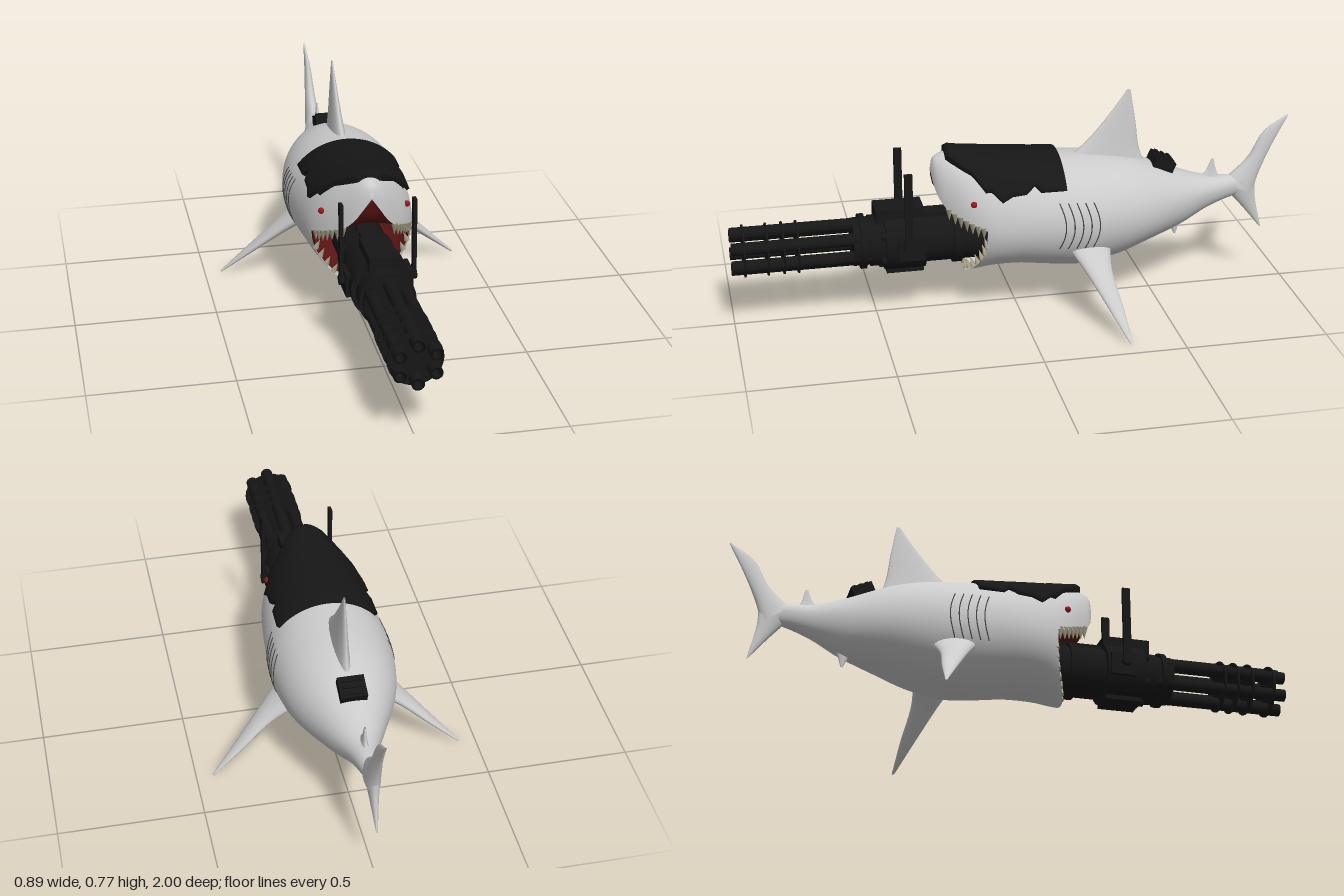
import * as THREE from 'three';

const mat = (color) => new THREE.MeshStandardMaterial({ color, side: THREE.DoubleSide });
const SKIN = mat(0xcccccc), BLACK = mat(0x161616), GUM = mat(0x5a1414), TOOTH = mat(0xa8a28a), RED = mat(0xa01218), SLIT = mat(0x444444);

// Body stations: z, half width, top, midline (upper lip in front), bottom
const BODY = [
  [-0.88, 0.008, 0.40, 0.375, 0.345], [-0.8, 0.03, 0.415, 0.38, 0.335], [-0.7, 0.055, 0.422, 0.37, 0.30],
  [-0.6, 0.10, 0.452, 0.36, 0.25], [-0.45, 0.168, 0.51, 0.35, 0.2], [-0.35, 0.198, 0.535, 0.35, 0.165],
  [-0.22, 0.214, 0.55, 0.35, 0.142], [-0.1, 0.208, 0.56, 0.35, 0.152], [0, 0.2, 0.57, 0.35, 0.165],
  [0.1, 0.186, 0.58, 0.35, 0.162], [0.15, 0.168, 0.585, 0.358, 0.15], [0.2, 0.137, 0.59, 0.378, 0.14],
  [0.25, 0.092, 0.59, 0.405, 0.14], [0.28, 0.056, 0.578, 0.445, 0.14], [0.295, 0.024, 0.562, 0.495, 0.14], [0.3, 0, 0.53, 0.53, 0.14],
];

// Smooth (Hermite) lookup in the body stations
function station(z) {
  const n = BODY.length;
  let i = 0;
  while (i < n - 2 && z > BODY[i + 1][0]) i++;
  const slope = (k, c) => {
    const a = BODY[Math.max(k - 1, 0)], b = BODY[Math.min(k + 1, n - 1)];
    return (b[c] - a[c]) / (b[0] - a[0]);
  };
  const h = BODY[i + 1][0] - BODY[i][0], t = (z - BODY[i][0]) / h, s = t * t * (3 - 2 * t);
  return [1, 2, 3, 4].map((c) => BODY[i][c] * (1 - s) + BODY[i + 1][c] * s
    + h * t * (1 - t) * ((1 - t) * slope(i, c) - t * slope(i + 1, c)));
}

// Point on the body at an angle from the left side, pushed out by scale
function surf(a, z, scale = 1) {
  const [w, top, mid, bot] = station(z), s = Math.sin(a);
  return [w * Math.cos(a) * scale, mid + (s > 0 ? top - mid : mid - bot) * s * scale, z];
}

// The lower half of the body ends at the rim of the lower jaw
const MOUTH = 0.13;
const rim = (a) => (Math.sin(a) > -1e-6 ? 0.3 : MOUTH + 0.055 * Math.abs(Math.sin(a)) ** 3);

// Surface through rows of points
function loft(rows, closed = true, skip = () => false) {
  const n = rows[0].length, index = [];
  for (let i = 0; i < rows.length - 1; i++) {
    for (let j = 0; j < (closed ? n : n - 1); j++) {
      if (skip(i, j)) continue;
      const k = (j + 1) % n, a = i * n + j, b = i * n + k;
      index.push(a, b, b + n, a, b + n, a + n);
    }
  }
  const g = new THREE.BufferGeometry();
  g.setAttribute('position', new THREE.Float32BufferAttribute(rows.flat(2), 3));
  g.setIndex(index);
  g.computeVertexNormals();
  return g;
}
const range = (n, f) => Array.from({ length: n + 1 }, (_, i) => f(i / n, i));

// Lens-section fin between a leading and a trailing edge
function fin(lead, trail, normal, thick) {
  const curve = (p) => new THREE.CatmullRomCurve3(p.map((q) => new THREE.Vector3(...q)));
  const L = curve(lead), T = curve(trail), n = new THREE.Vector3(...normal).normalize();
  return loft(range(16, (t) => range(19, (_, j) => {
    const a = (j / 20) * Math.PI * 2;
    return L.getPoint(t).lerp(T.getPoint(t), (1 - Math.cos(a)) / 2)
      .addScaledVector(n, Math.sin(a) * (thick * (1 - t) + 0.003)).toArray();
  })));
}

export function createModel() {
  const model = new THREE.Group();
  const add = (name, geo, material, x = 0, y = 0, z = 0, parent = model) => {
    const m = new THREE.Mesh(geo, material);
    m.name = name;
    m.position.set(x, y, z);
    parent.add(m);
    return m;
  };

  // Body skin, split along the lip in front of the mouth corners
  const N = 56, zs = [...range(60, (t) => -0.88 + t * (MOUTH + 0.88)), ...range(23, (t, i) => MOUTH + 0.17 * ((i + 1) / 24))];
  const ring = (z) => range(N - 1, (_, j) => {
    const a = (j / N) * Math.PI * 2;
    return surf(a, Math.min(z, rim(a)));
  });
  add('body', loft(zs.map(ring), true, (i, j) => zs[i + 1] > MOUTH + 1e-4 && (j === N - 1 || j === N / 2)), SKIN);

  // Mouth lining and palate
  add('mouthLining', loft(range(10, (t) => range(N - 1, (_, j) => {
    const a = (j / N) * Math.PI * 2, front = Math.min(rim(a), MOUTH);
    return surf(a, front - 0.16 * t, 0.97 * Math.sqrt(1 - t * t));
  }))), GUM);
  add('palate', loft(range(16, (t) => range(12, (u) => {
    const z = 0.08 + 0.217 * t, [w, top, mid] = station(z);
    return [w * (2 * u - 1) * 0.99, mid + Math.min(0.02, (top - mid) * 0.3) * Math.sin(u * Math.PI), z];
  })), false), GUM);

  // Teeth along both jaws
  const tooth = new THREE.ConeGeometry(0.013, 0.045, 6);
  for (const side of [-1, 1]) {
    for (let i = 0; i < 7; i++) {
      const z = 0.14 + i * 0.018, [w, , mid] = station(z);
      const up = add('upperTooth', tooth, TOOTH, side * w * 0.95, mid - 0.014, z);
      up.rotation.z = Math.PI;
      const a = -0.35 - i * 0.18, p = surf(a, rim(a), 0.94);
      const low = add('lowerTooth', tooth, TOOTH, side * p[0], p[1] + 0.012, p[2]);
      low.rotation.set(0.3, 0, side * 0.35);
      low.scale.setScalar(0.85);
    }
    add('eye', new THREE.SphereGeometry(0.011, 16, 12), RED, side * 0.15, 0.445, 0.172);

    // Gill slits lying on the flank
    for (let i = 0; i < 5; i++) {
      const pts = range(8, (t) => {
        const p = surf(-0.4 + t * 0.85, -0.12 - i * 0.03 - 0.02 * Math.sin(t * Math.PI), 1.002);
        return new THREE.Vector3(side * p[0], p[1], p[2]);
      });
      add('gillSlit', new THREE.TubeGeometry(new THREE.CatmullRomCurve3(pts), 16, 0.002, 5), SLIT);
    }

    // Pectoral fins
    add('pectoralFin', fin(
      [[side * 0.16, 0.27, -0.15], [side * 0.235, 0.2, -0.2], [side * 0.34, 0.1, -0.26], [side * 0.44, 0.005, -0.315]],
      [[side * 0.16, 0.25, -0.31], [side * 0.235, 0.19, -0.3], [side * 0.34, 0.095, -0.315], [side * 0.442, 0.003, -0.325]],
      [side, 1, 0], 0.028), SKIN);
  }

  // Fins on the centre line, as [z, y] edges
  const midFin = (name, lead, trail, thick) => {
    const p = (q) => q.map(([z, y]) => [0, y, z]);
    add(name, fin(p(lead), p(trail), [1, 0, 0], thick), SKIN);
  };
  midFin('dorsalFin', [[-0.19, 0.53], [-0.27, 0.602], [-0.34, 0.685], [-0.402, 0.77]], [[-0.48, 0.47], [-0.45, 0.545], [-0.434, 0.65], [-0.414, 0.768]], 0.026);
  midFin('secondDorsalFin', [[-0.67, 0.41], [-0.7, 0.44], [-0.718, 0.482]], [[-0.765, 0.405], [-0.742, 0.43], [-0.728, 0.482]], 0.01);
  midFin('analFin', [[-0.54, 0.28], [-0.57, 0.24], [-0.588, 0.205]], [[-0.65, 0.29], [-0.61, 0.25], [-0.595, 0.205]], 0.012);
  midFin('upperTailLobe', [[-0.77, 0.4], [-0.855, 0.48], [-0.91, 0.575], [-0.995, 0.632]], [[-0.875, 0.335], [-0.895, 0.41], [-0.94, 0.515], [-0.998, 0.628]], 0.026);
  midFin('lowerTailLobe', [[-0.77, 0.37], [-0.845, 0.285], [-0.91, 0.205]], [[-0.885, 0.41], [-0.888, 0.33], [-0.917, 0.2]], 0.024);

  // Head armour: shell with a ragged lower edge, [z, edge angle, scale]
  const ARMOUR = [[-0.15, 0.66, 1.0], [-0.149, 0.66, 1.06], [-0.06, 0.63, 1.06], [-0.04, 0.74, 1.06], [-0.01, 0.6, 1.06], [0.04, 0.56, 1.06],
    [0.075, 0.46, 1.06], [0.11, 0.62, 1.06], [0.13, 0.6, 1.07], [0.17, 0.85, 1.08], [0.2, 0.92, 1.09], [0.235, 1.05, 1.13], [0.25, 1.15, 1.12], [0.251, 1.15, 0.99]];
  add('headArmour', loft(ARMOUR.map(([z, edge, s]) => range(26, (_, j) => {
    const t = Math.min(Math.max((j - 1) / 24, 0), 1);
    return surf(edge + t * (Math.PI - 2 * edge), z, j === 0 || j === 26 ? 0.99 : s);
  })), false), BLACK);

  // Back plate
  const plate = new THREE.Group();
  plate.name = 'backPlate';
  plate.position.set(0, 0.482, -0.53);
  plate.rotation.x = -0.42;
  model.add(plate);
  add('plateBase', new THREE.BoxGeometry(0.09, 0.055, 0.078), BLACK, 0, 0, 0, plate);
  for (const z of [-0.024, 0, 0.024]) add('plateRib', new THREE.BoxGeometry(0.07, 0.008, 0.012), BLACK, 0, 0.03, z, plate);

  // Rotary gun held in the jaws
  const gun = new THREE.Group();
  gun.name = 'rotaryGun';
  gun.position.y = 0.278;
  model.add(gun);
  const drum = (name, r, z0, z1, x = 0, y = 0, sides = 28) => {
    const g = new THREE.CylinderGeometry(r, r, z1 - z0, sides).rotateX(Math.PI / 2);
    return add(name, g, BLACK, x, y, (z0 + z1) / 2, gun);
  };
  drum('rearHousing', 0.09, 0.02, 0.34);
  drum('rearCollar', 0.1, 0.2, 0.23);
  drum('mainHousing', 0.107, 0.33, 0.47);
  drum('frontHousing', 0.09, 0.47, 0.52);
  drum('frontFlange', 0.097, 0.535, 0.555);
  drum('barrelSocket', 0.085, 0.5, 0.58);
  for (const z of [0.77, 0.82, 0.875, 0.955]) drum('barrelClamp', 0.092, z - 0.003, z + 0.003);
  for (let i = 0; i < 6; i++) {
    const a = Math.PI / 2 + (i * Math.PI) / 3, c = Math.cos(a), s = Math.sin(a);
    // Open barrel tubes with a bore
    const bore = [[0.014, 0.4], [0.014, 0.5], [0.022, 0.5], [0.022, 0], [0, 0]].map(([r, y]) => new THREE.Vector2(r, y));
    add('barrel', new THREE.LatheGeometry([new THREE.Vector2(0, 0.4), ...bore], 14).rotateX(Math.PI / 2), BLACK, 0.067 * c, 0.067 * s, 0.5, gun);
    drum('housingBolt', 0.014, 0.34, 0.485, 0.092 * c, 0.092 * s, 10);
  }
  add('topCover', new THREE.BoxGeometry(0.1, 0.05, 0.17), BLACK, 0, 0.104, 0.415, gun);
  add('topRail', new THREE.BoxGeometry(0.06, 0.03, 0.2), BLACK, 0, 0.085, 0.27, gun);
  add('bottomCover', new THREE.BoxGeometry(0.1, 0.03, 0.13), BLACK, 0, -0.095, 0.4, gun);
  for (const side of [-1, 1]) {
    add('sideLug', new THREE.BoxGeometry(0.03, 0.08, 0.09), BLACK, side * 0.1, 0, 0.385, gun);
    add('handle', new THREE.BoxGeometry(0.012, 0.285, 0.028), BLACK, side * 0.125, 0.145, 0.394, gun);
    add('handlePivot', new THREE.CylinderGeometry(0.018, 0.018, 0.026, 16).rotateZ(Math.PI / 2), BLACK, side * 0.12, 0.01, 0.394, gun);
  }
  return model;
}
